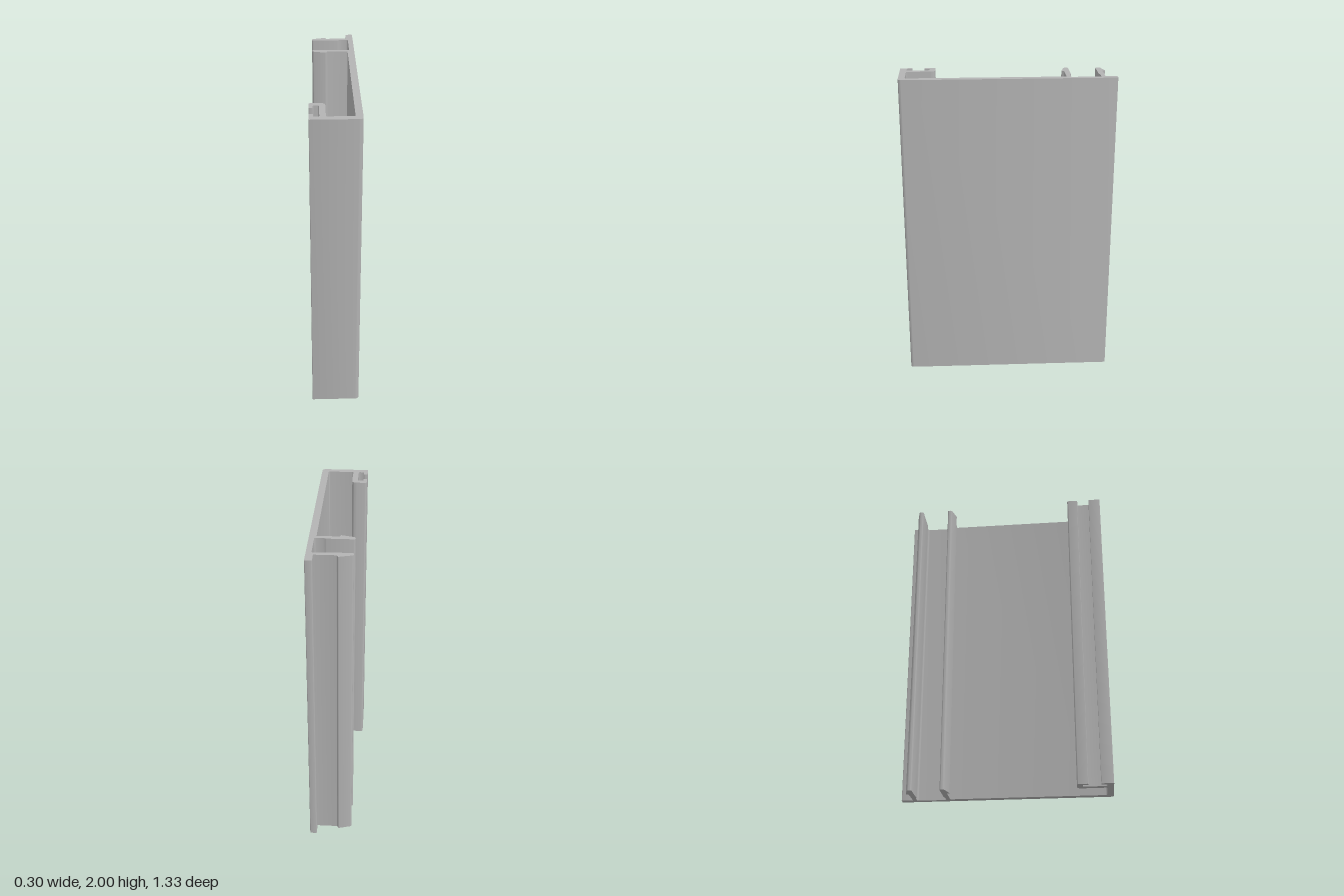
import * as THREE from 'three';
import { toCreasedNormals } from 'three/addons/utils/BufferGeometryUtils.js';

const HEIGHT = 2;

// Closed outline with every corner [x, z, radius] rounded; shape y is -z.
function roundedOutline(corners) {
  const shape = new THREE.Shape();
  const points = corners.map(([x, z]) => new THREE.Vector2(x, -z));
  const n = points.length;
  points.forEach((p, i) => {
    const toPrev = points[(i + n - 1) % n].clone().sub(p);
    const toNext = points[(i + 1) % n].clone().sub(p);
    const dot = toPrev.clone().normalize().dot(toNext.clone().normalize());
    const halfAngle = Math.acos(THREE.MathUtils.clamp(dot, -1, 1)) / 2;
    const cut = Math.min(
      corners[i][2] / Math.tan(halfAngle), toPrev.length() * 0.48, toNext.length() * 0.48);
    const a = p.clone().add(toPrev.setLength(cut));
    const b = p.clone().add(toNext.setLength(cut));
    if (i === 0) shape.moveTo(a.x, a.y);
    else shape.lineTo(a.x, a.y);
    if (cut > 0) shape.quadraticCurveTo(p.x, p.y, b.x, b.y);
  });
  shape.closePath();
  return shape;
}

export function createModel() {
  const group = new THREE.Group();
  group.name = 'clipProfile';
  const aluminium = new THREE.MeshStandardMaterial({ color: 0xb3b3b3 });
  aluminium.name = 'grey aluminium';

  // Barbed snap arm, from its outer root round the nose to its inner root
  const arm = [
    [0.106, -0.594, 0],
    [-0.025, -0.594, 0.004],
    [-0.033, -0.612, 0.005],
    [-0.118, -0.589, 0.014],
    [-0.118, -0.561, 0.012],
    [0.050, -0.561, 0.008],
    [0.062, -0.568, 0.008],
    [0.117, -0.568, 0.01],
  ];
  const armCentre = -0.475;
  const mirroredArm = arm.map(([x, z, r]) => [x, 2 * armCentre - z, r]).reverse();

  // Hooked channel at the front, from the web's inner corner round to the outer corner
  const channel = [
    [0.106, 0.624, 0.01],
    [-0.056, 0.624, 0.008],
    [-0.056, 0.444, 0.03],
    [-0.151, 0.444, 0.015],
    [-0.151, 0.513, 0.004],
    [-0.127, 0.513, 0.004],
    [-0.127, 0.48, 0.006],
    [-0.092, 0.48, 0.006],
    [-0.092, 0.624, 0.006],
    [-0.127, 0.624, 0.006],
    [-0.127, 0.589, 0.004],
    [-0.151, 0.589, 0.004],
    [-0.151, 0.665, 0.005],
    [0.149, 0.665, 0.024],
  ];

  // Whole section: web tip, two snap arms, channel, flat outer face
  const outline = roundedOutline([
    [0.149, -0.667, 0.006],
    [0.106, -0.667, 0.006],
    ...arm,
    ...mirroredArm,
    ...channel,
  ]);

  const extrusion = new THREE.ExtrudeGeometry(outline, {
    depth: HEIGHT, bevelEnabled: false, curveSegments: 8, steps: 1,
  });
  extrusion.rotateX(-Math.PI / 2);
  const mesh = new THREE.Mesh(toCreasedNormals(extrusion, 0.45), aluminium);
  mesh.name = 'extrudedPanel';
  group.add(mesh);
  return group;
}
